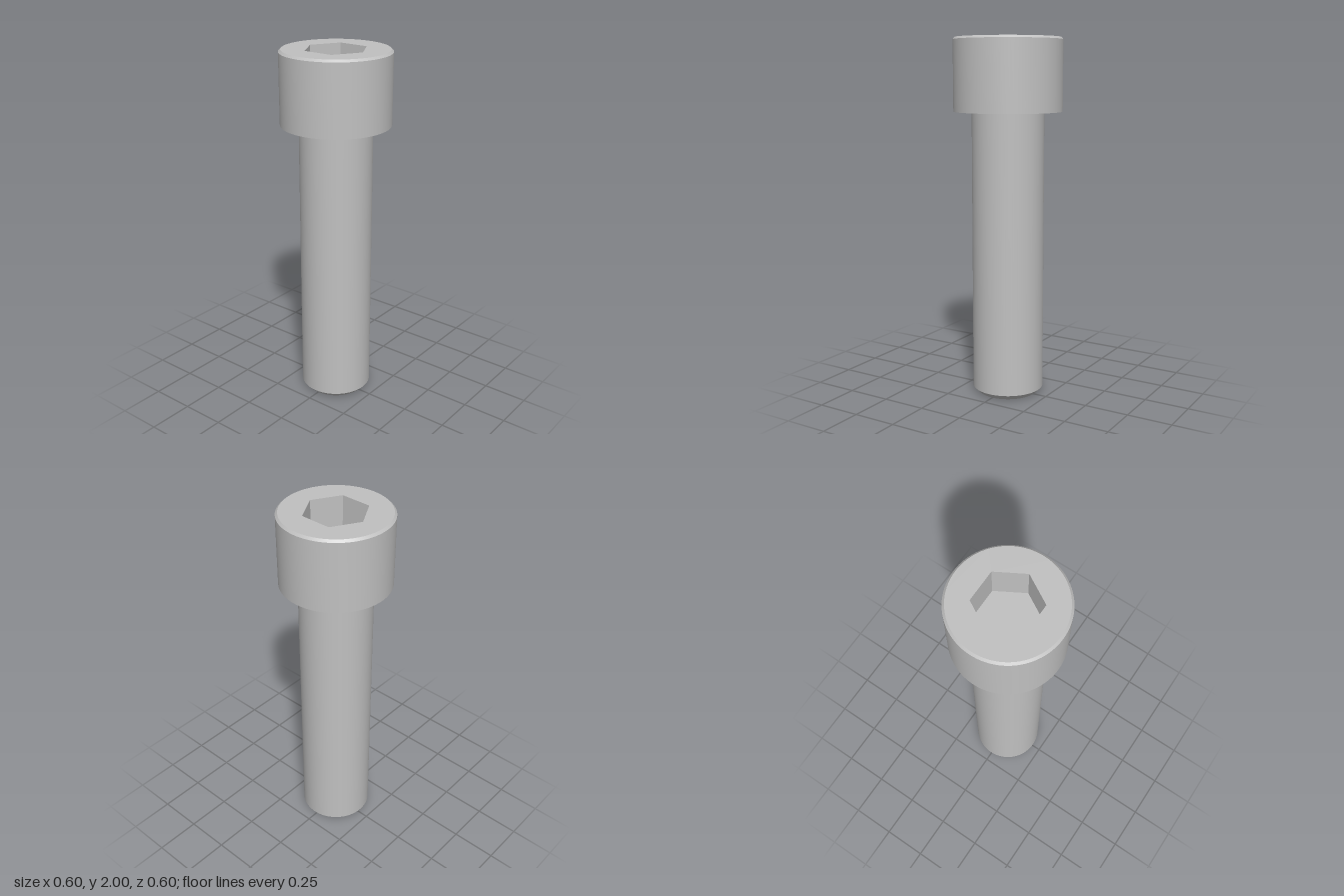
import * as THREE from 'three';
import { toCreasedNormals } from 'three/addons/utils/BufferGeometryUtils.js';

const SEGMENTS = 96;
const HEAD_R = 0.3, HEAD_BEVEL = 0.012, SHANK_R = 0.2, SHANK_BEVEL = 0.03;
const HEIGHT = 2, HEAD_BASE = 1.6;
const SOCKET_R = 0.3 / Math.sqrt(3), SOCKET_FLOOR = 1.8;

export function createModel() {
  const steel = new THREE.MeshStandardMaterial({ color: 0xc0c0c0 });
  steel.name = 'steel grey';
  const group = new THREE.Group();
  group.name = 'socketHeadScrew';

  const add = (name, geometry) => {
    const mesh = new THREE.Mesh(geometry, steel);
    mesh.name = name;
    group.add(mesh);
  };
  // Revolve [radius, height] pairs, keeping the profile corners sharp
  const turn = (profile, segments = SEGMENTS, start = 0) =>
    toCreasedNormals(new THREE.LatheGeometry(
      profile.map(([r, y]) => new THREE.Vector2(r, y)), segments, start), 0.5);

  // Shank with chamfered tip
  add('shank', turn([
    [0, 0], [SHANK_R - SHANK_BEVEL, 0], [SHANK_R, SHANK_BEVEL], [SHANK_R, HEAD_BASE],
  ]));

  // Cylindrical head: underside, wall and rim bevel
  add('head', turn([
    [SHANK_R, HEAD_BASE], [HEAD_R, HEAD_BASE],
    [HEAD_R, HEIGHT - HEAD_BEVEL], [HEAD_R - HEAD_BEVEL, HEIGHT],
  ]));

  // Flat head top with hexagonal opening
  const ring = (r, n) => Array.from({ length: n }, (_, i) => {
    const a = (i / n) * Math.PI * 2;
    return new THREE.Vector2(r * Math.cos(a), r * Math.sin(a));
  });
  const face = new THREE.Shape(ring(HEAD_R - HEAD_BEVEL, SEGMENTS));
  face.holes.push(new THREE.Path(ring(SOCKET_R, 6).reverse()));
  add('headTop', new THREE.ShapeGeometry(face).rotateX(-Math.PI / 2).translate(0, HEIGHT, 0));

  // Hex socket: inward-facing walls and floor
  add('hexSocket', turn([
    [SOCKET_R, HEIGHT], [SOCKET_R, SOCKET_FLOOR], [0, SOCKET_FLOOR],
  ], 6, Math.PI / 2));

  return group;
}
